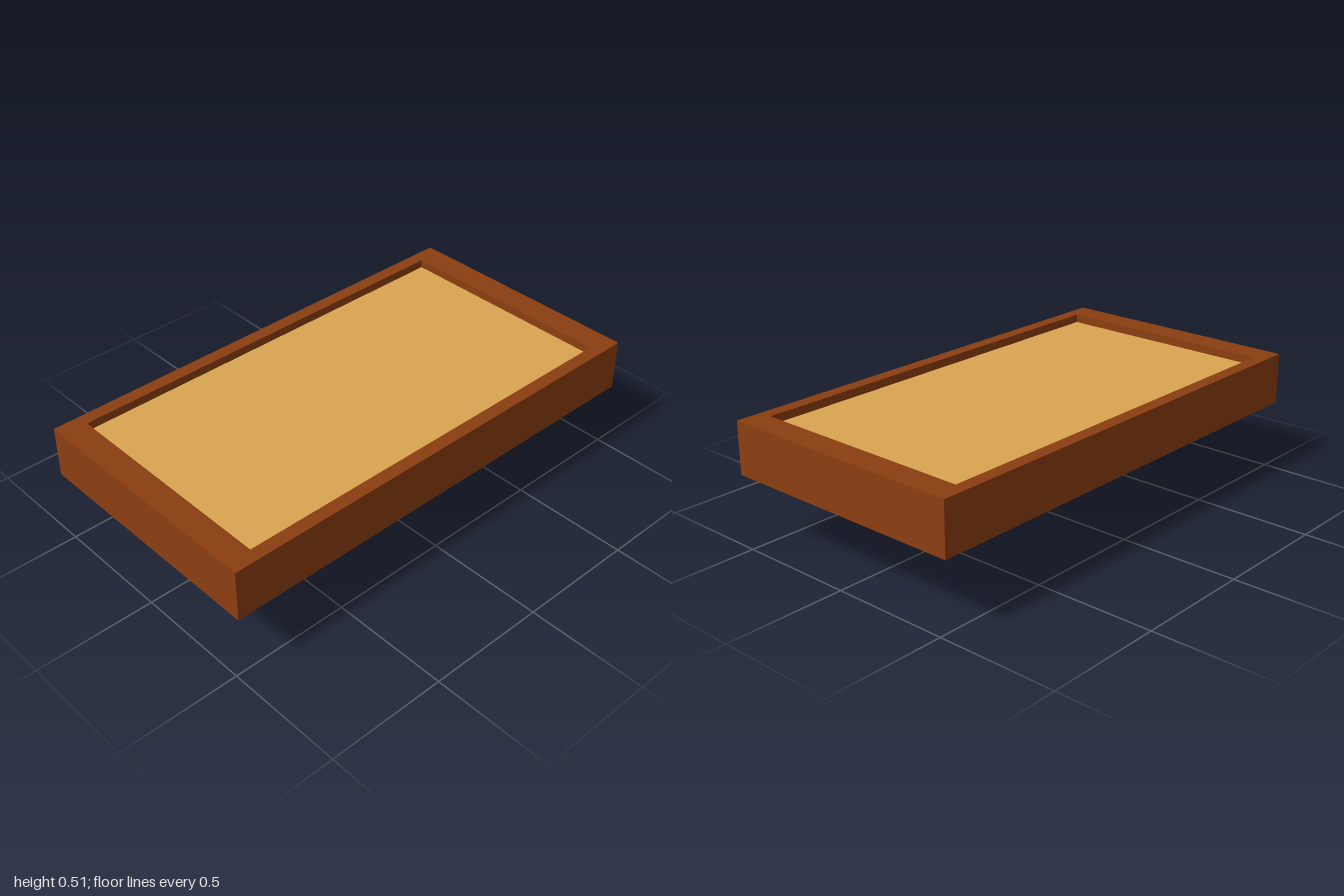
import * as THREE from 'three';

// Rectangle outline centred on the origin
function rect(PathType, halfX, halfZ) {
  const p = new PathType();
  p.moveTo(-halfX, -halfZ);
  p.lineTo(halfX, -halfZ);
  p.lineTo(halfX, halfZ);
  p.lineTo(-halfX, halfZ);
  p.closePath();
  return p;
}

export function createModel() {
  const group = new THREE.Group();
  const brown = new THREE.MeshStandardMaterial({ color: 0x8b3e10 });
  brown.name = 'brown wood';
  const tan = new THREE.MeshStandardMaterial({ color: 0xd9a451 });
  tan.name = 'tan inlay';

  const add = (name, geometry, material, y) => {
    const mesh = new THREE.Mesh(geometry, material);
    mesh.name = name;
    mesh.position.y = y;
    group.add(mesh);
  };

  const bottomY = 0.055, rimY = 0.297, floorY = 0.478, topY = 0.513;
  const halfX = 1, halfZ = 0.533, innerX = 0.89, innerZ = 0.478;

  // Rim frame around the recess
  const outline = rect(THREE.Shape, halfX, halfZ);
  outline.holes.push(rect(THREE.Path, innerX, innerZ));
  const rim = new THREE.ExtrudeGeometry(outline, { depth: topY - rimY, bevelEnabled: false });
  rim.rotateX(-Math.PI / 2);
  add('rim', rim, brown, rimY);

  // Recessed surface
  const surface = new THREE.PlaneGeometry(innerX * 2, innerZ * 2).rotateX(-Math.PI / 2);
  add('recessedSurface', surface, tan, floorY);

  // Underside: a box whose bottom corners are drawn in
  const height = rimY - bottomY;
  const taper = new THREE.BoxGeometry(halfX * 2, height, halfZ * 2).toNonIndexed();
  const pos = taper.attributes.position;
  for (let i = 0; i < pos.count; i++) {
    if (pos.getY(i) < 0) {
      pos.setX(i, pos.getX(i) * 0.262);
      pos.setZ(i, pos.getZ(i) * 0.262);
    }
  }
  taper.computeVertexNormals();
  add('taperedUnderside', taper, brown, bottomY + height / 2);

  // Small foot
  add('foot', new THREE.BoxGeometry(0.334, bottomY, 0.178), brown, bottomY / 2);

  return group;
}
